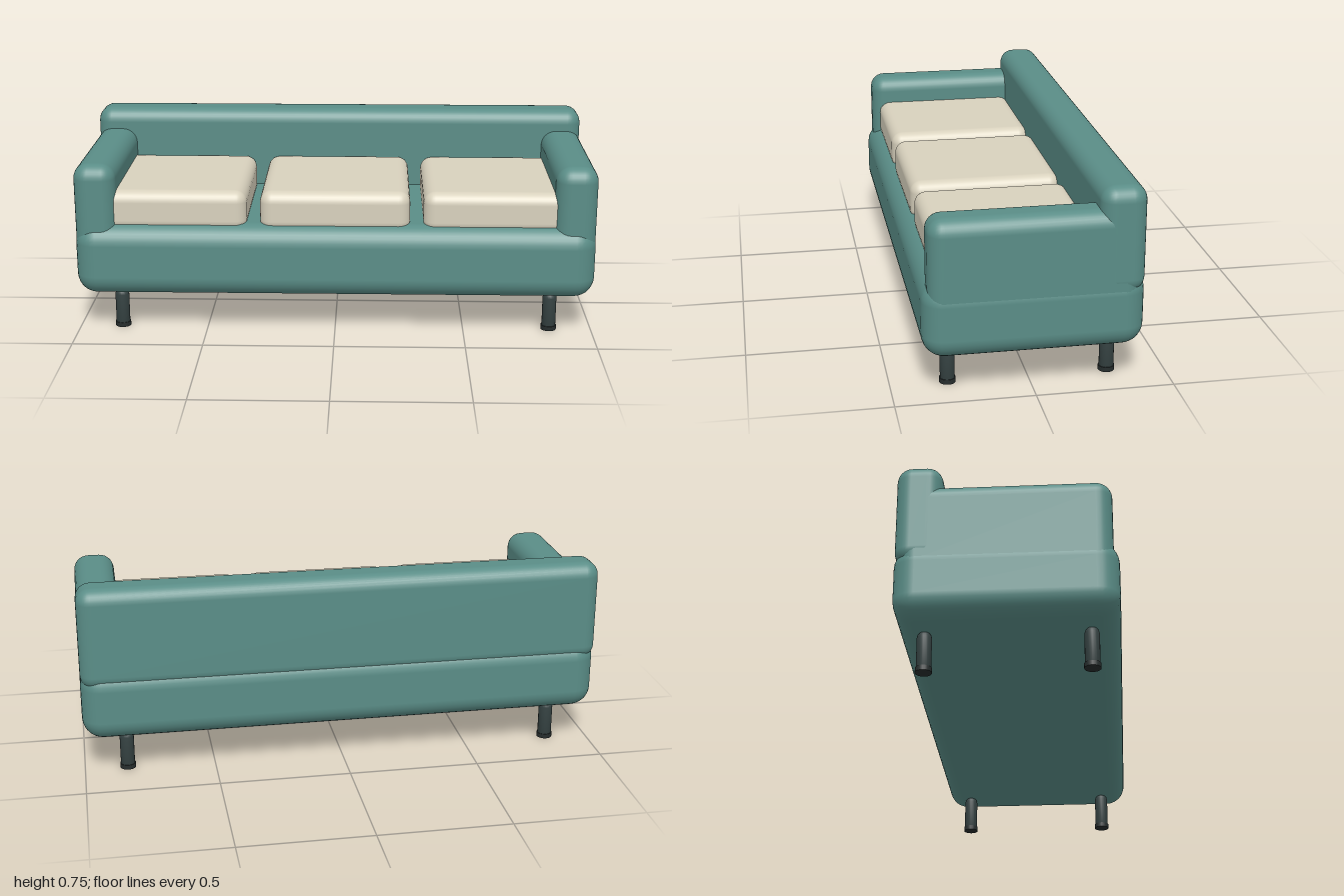
import * as THREE from 'three';
import { RoundedBoxGeometry } from 'three/addons/geometries/RoundedBoxGeometry.js';

const makeMaterial = (name, color) => {
  const m = new THREE.MeshStandardMaterial({ color });
  m.name = name;
  return m;
};

export function createModel() {
  const sofa = new THREE.Group();
  sofa.name = 'sofa';
  const teal = makeMaterial('teal fabric', 0x5a8d87);
  const cream = makeMaterial('cream fabric', 0xd8d1bd);
  const dark = makeMaterial('dark leg', 0x364343);
  const black = makeMaterial('black foot', 0x262d2d);

  // Soft block given by its limits on each axis
  const block = (name, material, [x0, x1], [y0, y1], [z0, z1], radius) => {
    const mesh = new THREE.Mesh(
      new RoundedBoxGeometry(x1 - x0, y1 - y0, z1 - z0, 4, radius), material);
    mesh.position.set((x0 + x1) / 2, (y0 + y1) / 2, (z0 + z1) / 2);
    mesh.name = name;
    sofa.add(mesh);
  };

  // Upholstered frame
  block('base', teal, [-1, 1], [0.15, 0.435], [-0.395, 0.395], 0.08);
  block('backrest', teal, [-0.999, 0.999], [0.357, 0.75], [-0.39, -0.225], 0.055);
  block('rightArm', teal, [-0.998, -0.838], [0.3, 0.667], [-0.375, 0.375], 0.058);
  block('leftArm', teal, [0.838, 0.998], [0.3, 0.667], [-0.375, 0.375], 0.058);

  // Three seat cushions, the outer two tucked under the arms
  for (const i of [-1, 0, 1]) {
    const x = i * 0.627;
    block('seatCushion', cream, [x - 0.288, x + 0.288], [0.4, 0.56], [-0.24, 0.345], 0.045);
  }

  // Legs with rounded shoulders and a slightly wider foot
  const legProfile = [[0, 0.01], [0.027, 0.01], [0.027, 0.132], [0.024, 0.143], [0.018, 0.15], [0, 0.16]]
    .map(([r, y]) => new THREE.Vector2(r, y));
  const legGeometry = new THREE.LatheGeometry(legProfile, 20);
  const footGeometry = new THREE.CylinderGeometry(0.03, 0.03, 0.018, 20);
  for (const x of [-0.836, 0.836]) {
    for (const z of [-0.292, 0.292]) {
      const leg = new THREE.Group();
      leg.name = 'leg';
      const post = new THREE.Mesh(legGeometry, dark);
      post.name = 'legPost';
      const foot = new THREE.Mesh(footGeometry, black);
      foot.name = 'foot';
      foot.position.y = 0.009;
      leg.add(post, foot);
      leg.position.set(x, 0, z);
      sofa.add(leg);
    }
  }
  return sofa;
}
